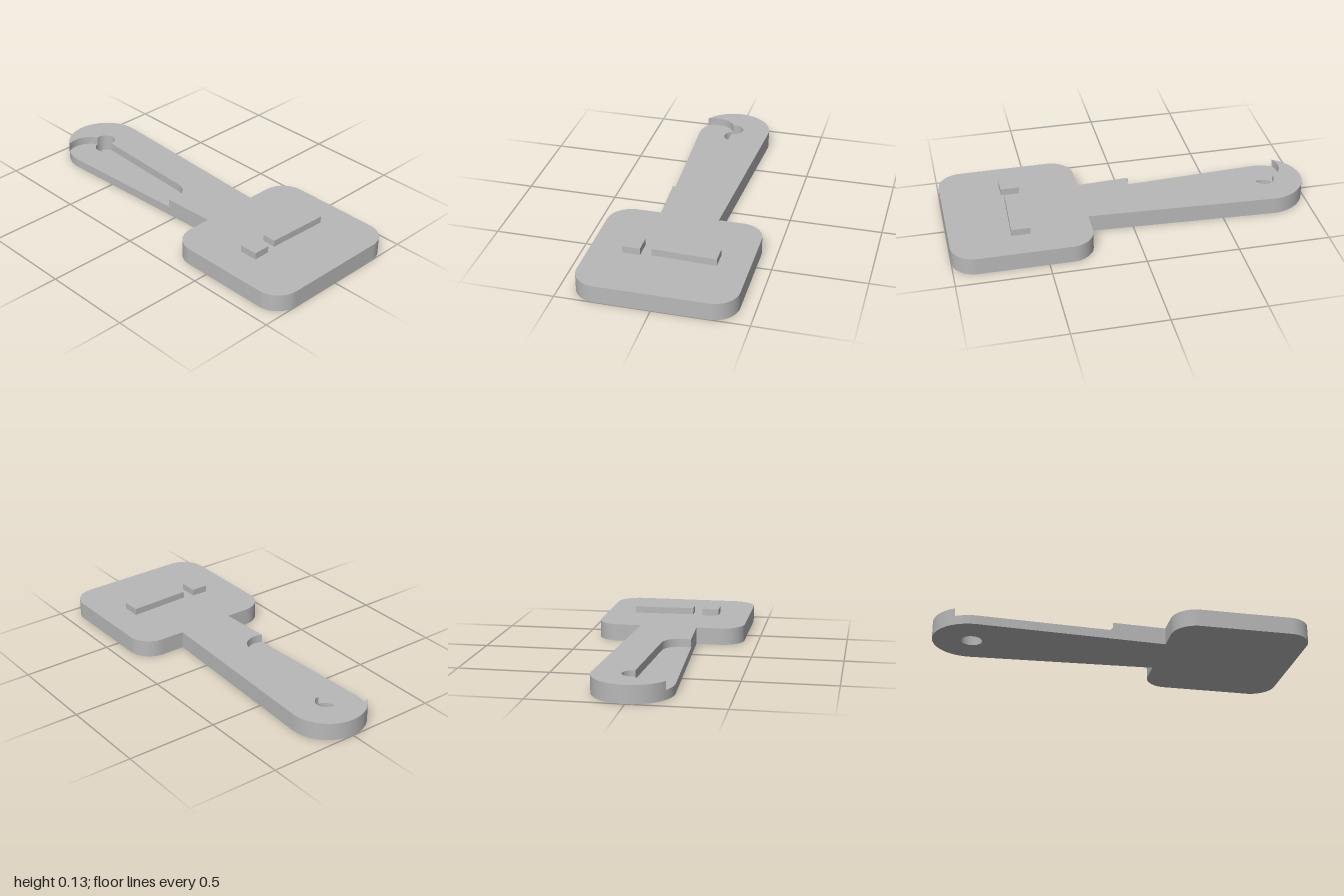
import * as THREE from 'three';
import { toCreasedNormals } from 'three/addons/utils/BufferGeometryUtils.js';

const TOP = 0.095, FLOOR = 0.05;
const EYE = { x: -0.788, r: 0.211, hole: 0.057 };   // rounded end and its hole
const NECK = { x: 0.245, half: 0.16 };              // where the handle meets the head
const TILT = 0.049;                                 // taper angle of the handle sides

export function createModel() {
  const group = new THREE.Group();
  const grey = new THREE.MeshStandardMaterial({ color: 0xb8b8b8 });
  grey.name = 'grey';

  // Extrude a plan outline (x, -z) upwards between two heights
  const plate = (name, shape, y0, y1) => {
    const geo = new THREE.ExtrudeGeometry(shape, { depth: y1 - y0, bevelEnabled: false, curveSegments: 32 });
    geo.rotateX(-Math.PI / 2).translate(0, y0, 0);
    const mesh = new THREE.Mesh(toCreasedNormals(geo, 0.5), grey);
    mesh.name = name;
    group.add(mesh);
  };
  const polygon = (pts) => new THREE.Shape(pts.map(([x, y]) => new THREE.Vector2(x, y)));
  const sideStart = Math.PI / 2 - TILT;

  // Head: rounded plate
  const x0 = NECK.x, x1 = 1, h = 0.42, r = 0.13, q = Math.PI / 2;
  const head = new THREE.Shape();
  head.absarc(x1 - r, h - r, r, 0, q);
  head.absarc(x0 + r, h - r, r, q, 2 * q);
  head.absarc(x0 + r, r - h, r, 2 * q, 3 * q);
  head.absarc(x1 - r, r - h, r, 3 * q, 4 * q);
  head.closePath();
  plate('head', head, 0, TOP);

  // Handle base: full tapered outline with a through hole
  const base = new THREE.Shape();
  base.moveTo(NECK.x, -NECK.half);
  base.lineTo(NECK.x, NECK.half);
  base.absarc(EYE.x, 0, EYE.r, sideStart, 2 * Math.PI - sideStart);
  base.closePath();
  const hole = new THREE.Path();
  hole.absarc(EYE.x, 0, EYE.hole, 0, 2 * Math.PI, true);
  base.holes.push(hole);
  plate('handleBase', base, 0, FLOOR);

  // Handle top: same outline, cut away by the pocket open to the front
  const rim = new THREE.Shape();
  rim.moveTo(NECK.x, -NECK.half);
  rim.lineTo(NECK.x, NECK.half);
  rim.absarc(EYE.x, 0, EYE.r, sideStart, 4.18);
  rim.absarc(-0.785, -0.125, 0.125, 3.63, 2.08, true);
  rim.absarc(EYE.x, 0, EYE.hole, 3.4, 0, true);
  rim.absarc(-0.135, -0.127, 0.1, Math.PI / 2 - 0.05, -0.48, true);
  rim.closePath();
  plate('handleRim', rim, FLOOR, TOP);

  // Raised tapered bar and block on the head
  const c = 0.622;
  plate('raisedBar', polygon([[c - 0.038, -0.09], [c + 0.038, -0.09], [c + 0.051, 0.253], [c - 0.051, 0.253]]), TOP, 0.132);
  plate('raisedBlock', polygon([[c - 0.051, -0.242], [c + 0.051, -0.242], [c + 0.051, -0.148], [c - 0.051, -0.148]]), TOP, 0.132);

  return group;
}
